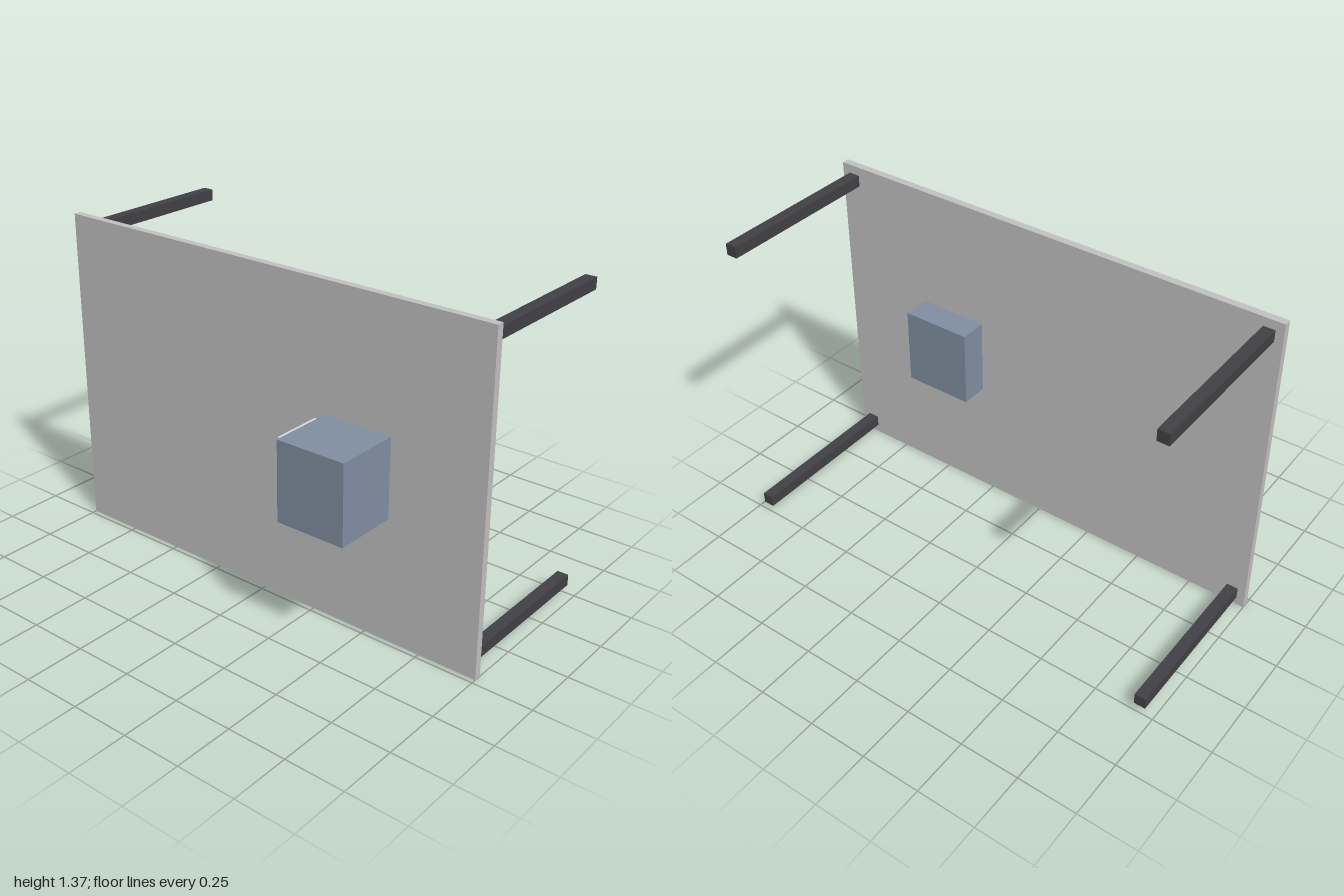
import * as THREE from 'three';

export function createModel() {
  const group = new THREE.Group();
  group.name = 'tableOnSide';

  const material = (name, color) => {
    const m = new THREE.MeshStandardMaterial({ color });
    m.name = name;
    return m;
  };
  const lightGrey = material('light grey', 0xc0c0c0);
  const slateBlue = material('slate blue', 0x808ea0);
  const charcoal = material('charcoal', 0x414145);
  const paleGrey = material('pale grey', 0xd6d8da);

  // Box given by its lower and upper limits on each axis
  const box = (name, mat, [x0, x1], [y0, y1], [z0, z1]) => {
    const mesh = new THREE.Mesh(new THREE.BoxGeometry(x1 - x0, y1 - y0, z1 - z0), mat);
    mesh.position.set((x0 + x1) / 2, (y0 + y1) / 2, (z0 + z1) / 2);
    mesh.name = name;
    group.add(mesh);
  };

  // Upright table top
  box('tableTop', lightGrey, [-1, 1], [0, 1.369], [0.198, 0.229]);

  // Four square legs pointing backward
  for (const x of [-0.942, 0.942]) {
    for (const y of [0.061, 1.308]) {
      box('leg', charcoal, [x - 0.024, x + 0.024], [y - 0.024, y + 0.024], [-0.5, 0.198]);
    }
  }

  // Cabinet passing through the table top
  box('cabinet', slateBlue, [0.299, 0.596], [0.521, 0.851], [0.083, 0.5]);

  // Drawer front on the cabinet's side
  box('drawerFront', paleGrey, [0.284, 0.299], [0.524, 0.848], [0.27, 0.478]);

  // Handle: a round bar on two posts
  const handle = new THREE.Group();
  handle.name = 'handle';
  const handleY = 0.686;
  const bar = new THREE.Mesh(new THREE.CapsuleGeometry(0.009, 0.092, 6, 16), slateBlue);
  bar.name = 'handleBar';
  bar.rotation.x = Math.PI / 2;
  bar.position.set(0.241, handleY, 0.373);
  handle.add(bar);
  for (const z of [0.333, 0.412]) {
    const post = new THREE.Mesh(new THREE.CylinderGeometry(0.007, 0.007, 0.043, 16), slateBlue);
    post.name = 'handlePost';
    post.rotation.z = Math.PI / 2;
    post.position.set(0.2625, handleY, z);
    handle.add(post);
  }
  group.add(handle);

  return group;
}
